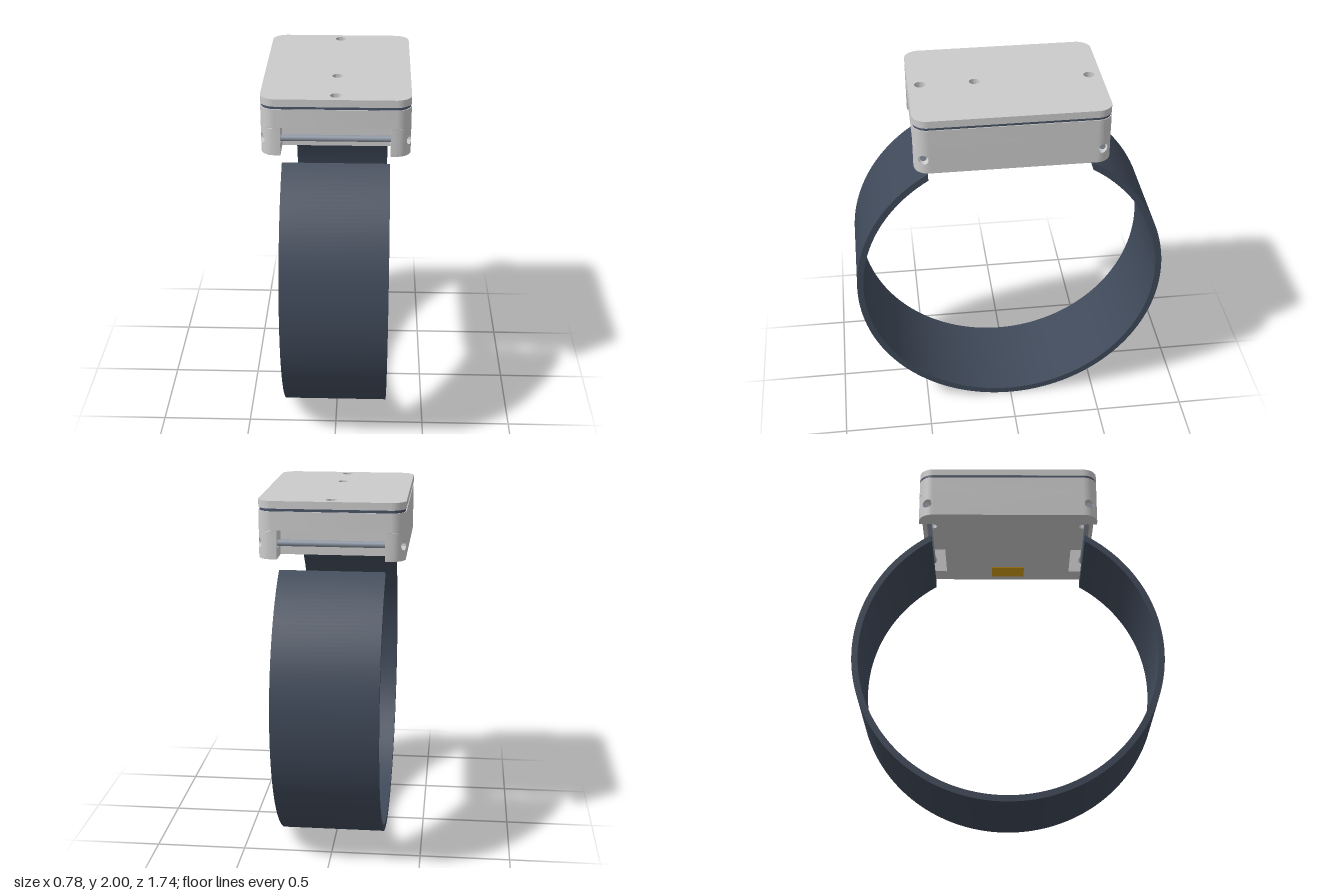
import * as THREE from 'three';
import { toCreasedNormals } from 'three/addons/utils/BufferGeometryUtils.js';
import { ParametricGeometry } from 'three/addons/geometries/ParametricGeometry.js';

const HX = 0.39, HZ = 0.52, R = 0.08;          // case half sizes and corner radius
const BASE = 1.69, NOTCH = 1.845, SEAM = 1.945, LID = 1.96, TOP = 2;
const NX = 0.285, NZ = 0.38;                   // strap notch half width and inner wall
const BAR = { y: 1.77, z: 0.47, hole: 0.026, r: 0.017 };
const SCREW_Z = 0.455, LIGHT_Z = 0.165;

const mat = (color) => new THREE.MeshStandardMaterial({ color, side: THREE.DoubleSide });

// Rounded plan outline raised from y0 to y1; holes are [z, radius] on the centre line
function plate(y0, y1, inset, holes) {
  const x = HX - inset, z = HZ - inset, r = R - inset;
  const s = new THREE.Shape();
  s.absarc(x - r, z - r, r, 0, Math.PI / 2);
  s.absarc(-x + r, z - r, r, Math.PI / 2, Math.PI);
  s.absarc(-x + r, -z + r, r, Math.PI, Math.PI * 1.5);
  s.absarc(x - r, -z + r, r, Math.PI * 1.5, Math.PI * 2);
  for (const [hz, hr] of holes) {
    s.holes.push(new THREE.Path().absarc(0, -hz, hr, 0, Math.PI * 2, true));
  }
  const g = new THREE.ExtrudeGeometry(s, { depth: y1 - y0, bevelEnabled: false, curveSegments: 16 });
  return toCreasedNormals(g.rotateX(-Math.PI / 2).translate(0, y0, 0), 0.6);
}

// Corner lug: closed loop of rings running through the bar hole and around the outside
function lug() {
  const corners = [[HZ, BASE], [HZ, NOTCH], [NZ, NOTCH], [NZ, BASE], [HZ, BASE]];
  const steps = 8, stacks = steps + 3;
  const g = new ParametricGeometry((u, v, p) => {
    const i = Math.min(3, Math.floor(u * 4 + 1e-6)), f = u * 4 - i;
    const ez = THREE.MathUtils.lerp(corners[i][0], corners[i + 1][0], f);
    const ey = THREE.MathUtils.lerp(corners[i][1], corners[i + 1][1], f);
    const a = Math.atan2(ey - BAR.y, ez - BAR.z);
    const k = Math.round(v * stacks);
    const t = k === 0 || k === stacks ? 1 : k === 1 ? 0 : (k - 2) / steps;
    const z = THREE.MathUtils.lerp(BAR.z + BAR.hole * Math.cos(a), ez, t);
    const y = THREE.MathUtils.lerp(BAR.y + BAR.hole * Math.sin(a), ey, t);
    const d = Math.min(R, Math.max(0, z - (HZ - R)));
    const outer = HX - R + Math.sqrt(R * R - d * d);
    p.set(k < 2 || k === stacks ? NX : outer, y, z);
  }, 64, stacks);
  return toCreasedNormals(g, 0.6);
}

// Open ring band with vertically cut ends
function band() {
  const ro = 0.87, ri = 0.835, end = 0.445;
  const ao = Math.acos(end / ro), ai = Math.acos(end / ri);
  const s = new THREE.Shape();
  s.absarc(0, ro, ro, ao, Math.PI - ao, true);
  s.absarc(0, ro, ri, Math.PI - ai, ai, false);
  const g = new THREE.ExtrudeGeometry(s, { depth: NX * 2, bevelEnabled: false, curveSegments: 96 });
  return toCreasedNormals(g.translate(0, 0, -NX).rotateY(Math.PI / 2), 0.6);
}

export function createModel() {
  const model = new THREE.Group();
  const grey = mat(0xcccccc), steel = mat(0x8f98a5), dark = mat(0x4a5568);
  const add = (name, geometry, material, parent = model) => {
    const m = new THREE.Mesh(geometry, material);
    m.name = name;
    parent.add(m);
    return m;
  };

  add('strap', band(), mat(0x3f4959));

  // Case
  const housing = new THREE.Group();
  housing.name = 'case';
  model.add(housing);
  const core = new THREE.BoxGeometry(HX * 2, NOTCH - BASE, NZ * 2);
  add('caseCore', core.translate(0, (BASE + NOTCH) / 2, 0), grey, housing);
  const screws = (r) => [[SCREW_Z, r], [-SCREW_Z, r]];
  add('caseUpper', plate(NOTCH, SEAM, 0, screws(0.022)), grey, housing);
  add('gasket', plate(SEAM, LID, 0.005, screws(0.022)), dark, housing);
  add('lid', plate(LID, TOP, 0, [...screws(0.03), [LIGHT_Z, 0.028]]), grey, housing);

  const lugShape = lug();
  for (const sx of [1, -1]) {
    for (const sz of [1, -1]) add('strapLug', lugShape, grey, housing).scale.set(sx, 1, sz);
  }

  // Spring bars across the notches
  for (const sz of [1, -1]) {
    const bar = add('springBar', new THREE.CylinderGeometry(BAR.r, BAR.r, 0.73, 24), steel);
    bar.rotation.z = Math.PI / 2;
    bar.position.set(0, BAR.y, sz * BAR.z);
  }

  // Status light sunk in the lid, contact plate under the case
  const light = add('statusLight', new THREE.CylinderGeometry(0.028, 0.028, 0.008, 24), mat(0x1f7a70));
  light.position.set(0, LID + 0.004, LIGHT_Z);
  const contact = add('contactPlate', new THREE.BoxGeometry(0.12, 0.01, 0.2), mat(0xd4a017));
  contact.position.set(0.29, BASE + 0.003, 0);

  return model;
}
